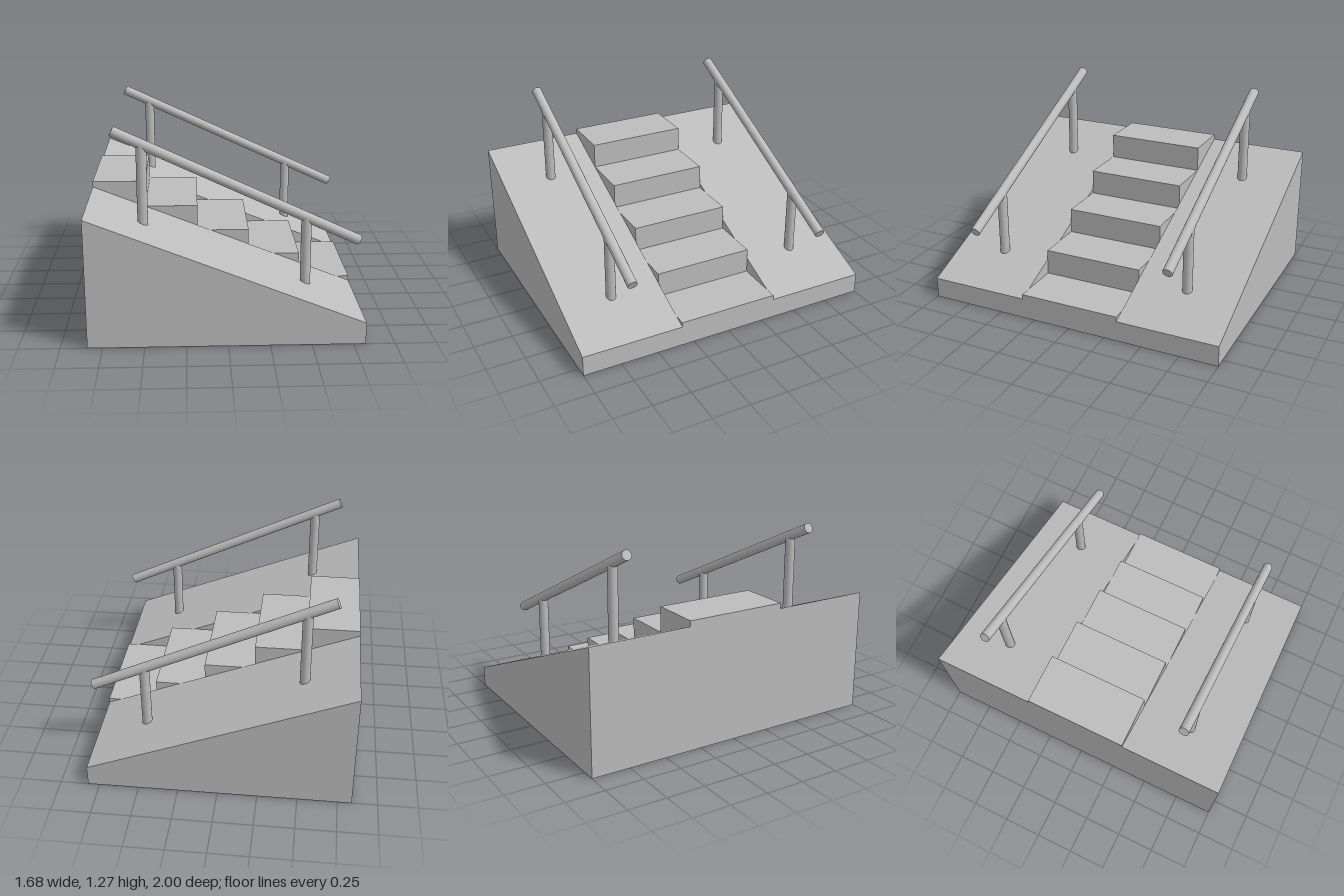
import * as THREE from 'three';

const X0 = -0.84, X1 = 0.823;      // high and low ends of the ramp
const HIGH = 0.8, LOW = 0.135;     // ramp heights at those ends
const STAIR_HALF = 0.333;          // half width of the stairs
const RAIL_Z = 0.665, RADIUS = 0.032;

const rampY = (x) => LOW + (X1 - x) * (HIGH - LOW) / (X1 - X0);

// Extrude an x/y profile between two z positions
function slab(points, z0, z1, material, name) {
  const shape = new THREE.Shape(points.map(([x, y]) => new THREE.Vector2(x, y)));
  const geometry = new THREE.ExtrudeGeometry(shape, { depth: z1 - z0, bevelEnabled: false });
  geometry.translate(0, 0, z0);
  const mesh = new THREE.Mesh(geometry, material);
  mesh.name = name;
  return mesh;
}

// Capped round bar between two points
function bar(from, to, material, name) {
  const direction = to.clone().sub(from);
  const mesh = new THREE.Mesh(
    new THREE.CylinderGeometry(RADIUS, RADIUS, direction.length(), 32), material);
  mesh.position.copy(from).add(to).multiplyScalar(0.5);
  mesh.quaternion.setFromUnitVectors(new THREE.Vector3(0, 1, 0), direction.normalize());
  mesh.name = name;
  return mesh;
}

export function createModel() {
  const model = new THREE.Group();
  model.name = 'stairsWithRamps';
  const concrete = new THREE.MeshStandardMaterial({ color: 0xbcbcbc });
  concrete.name = 'concreteGrey';

  // Sloped banks on both sides of the stairs
  const wedge = [[X0, 0], [X1, 0], [X1, LOW], [X0, HIGH]];
  model.add(slab(wedge, STAIR_HALF, 1, concrete, 'frontBank'));
  model.add(slab(wedge, -1, -STAIR_HALF, concrete, 'backBank'));

  // Five steps rising towards -x, cut into the slope at the bottom
  const steps = 5, rise = 0.167, run = (X1 - X0) / steps;
  const profile = [[X0, 0], [X1, 0]];
  for (let i = 0; i < steps; i++) {
    profile.push([X1 - i * run, (i + 1) * rise], [X1 - (i + 1) * run, (i + 1) * rise]);
  }
  model.add(slab(profile, -STAIR_HALF, STAIR_HALF, concrete, 'stairs'));

  // Sloping handrails, each on two posts
  const top = new THREE.Vector2(-0.684, 1.24), end = new THREE.Vector2(0.822, 0.539);
  const railY = (x) => top.y + (x - top.x) * (end.y - top.y) / (end.x - top.x);
  for (const side of [1, -1]) {
    const z = side * RAIL_Z;
    const railing = new THREE.Group();
    railing.name = side > 0 ? 'frontRailing' : 'backRailing';
    railing.add(bar(new THREE.Vector3(top.x, top.y, z), new THREE.Vector3(end.x, end.y, z),
      concrete, 'handrail'));
    for (const x of [-0.51, 0.49]) {
      railing.add(bar(new THREE.Vector3(x, rampY(x) - 0.03, z),
        new THREE.Vector3(x, railY(x), z), concrete, 'post'));
    }
    model.add(railing);
  }
  return model;
}
